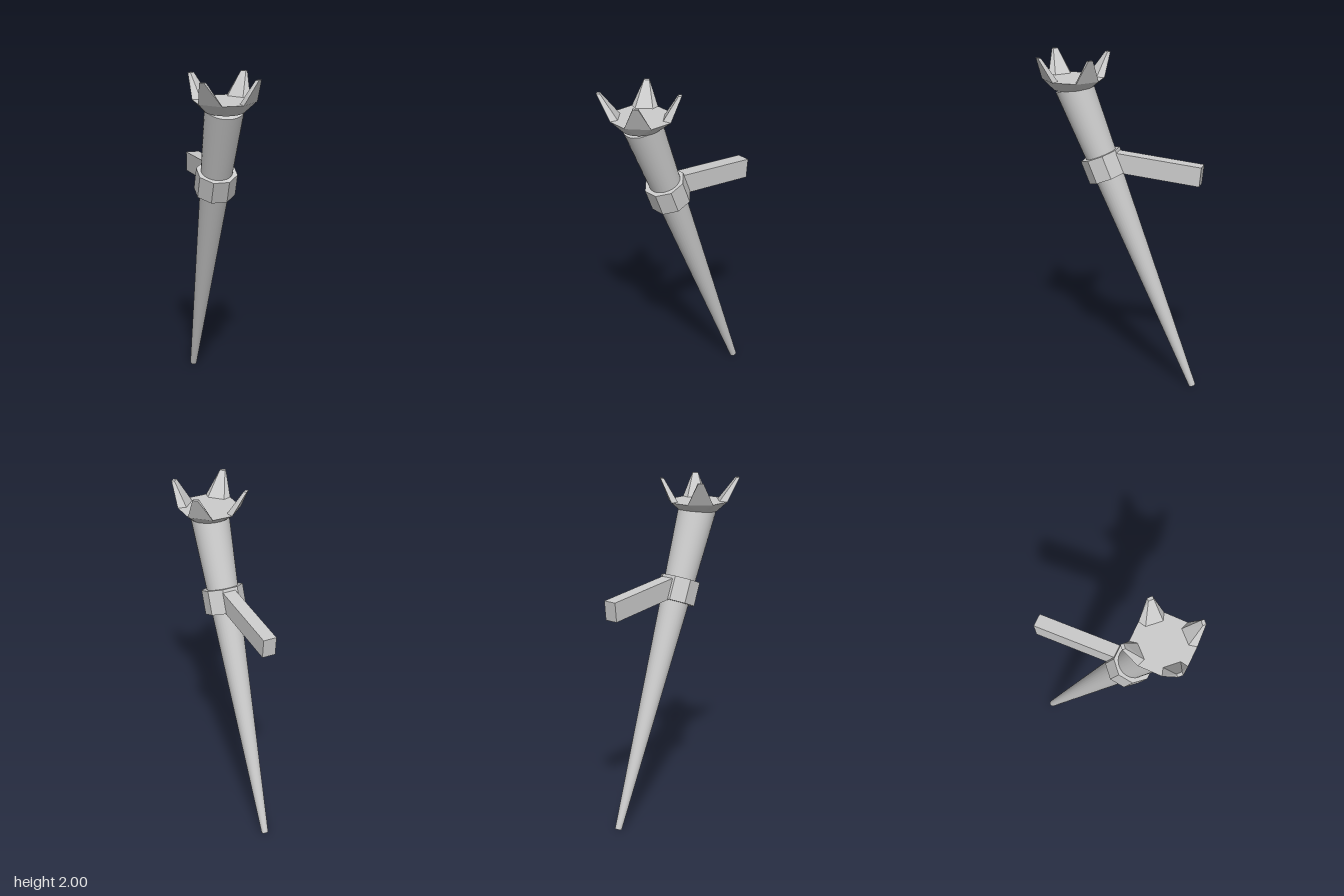
import * as THREE from 'three';
import { ConvexGeometry } from 'three/addons/geometries/ConvexGeometry.js';

const CX = 0.006;   // centre line of the torch
const CZ = 0.295;   // centre of the crown
const PLATE_Y = 1.865;

export function createModel() {
  const group = new THREE.Group();
  const material = new THREE.MeshStandardMaterial({ color: 0xcccccc });
  const add = (name, geometry) => {
    const mesh = new THREE.Mesh(geometry, material);
    mesh.name = name;
    group.add(mesh);
    return mesh;
  };
  const V = (x, y, z) => new THREE.Vector3(x, y, z);

  // Tapered shaft leaning forward
  const foot = V(CX, 0.009, -0.437), head = V(CX, 1.82, 0.292);
  const axis = head.clone().sub(foot);
  const lean = Math.atan2(axis.z, axis.y);
  const shaft = add('shaft', new THREE.CylinderGeometry(0.112, 0.02, axis.length(), 32));
  shaft.position.copy(foot).add(head).multiplyScalar(0.5);
  shaft.rotation.x = lean;

  // Eight-sided collar around the shaft, flats facing front and back
  const collarGeo = new THREE.CylinderGeometry(0.121, 0.121, 0.142, 8).toNonIndexed();
  collarGeo.rotateY(Math.PI / 8);
  collarGeo.computeVertexNormals();
  const collar = add('collar', collarGeo);
  collar.position.set(CX, 1.356, 0.109);
  collar.rotation.x = lean;

  // Wall bracket reaching back from the collar
  const bracket = add('bracket', new THREE.BoxGeometry(0.08, 0.115, 0.52));
  bracket.position.set(0.015, 1.365, -0.213);
  bracket.rotation.x = -0.1;

  // Crown base: round neck flaring to a level octagonal plate
  const pts = [];
  for (let i = 0; i < 32; i++) {
    const a = (i / 32) * Math.PI * 2;
    const z = Math.cos(a) * 0.115;
    pts.push(V(CX + Math.sin(a) * 0.115, 1.808 - z * 0.07, CZ + z));
  }
  for (const sx of [-1, 1]) for (const sz of [-1, 1]) {
    pts.push(V(CX + sx * 0.168, PLATE_Y, CZ + sz * 0.068));
    pts.push(V(CX + sx * 0.06, PLATE_Y, CZ + sz * 0.17));
  }
  add('crownBase', new ConvexGeometry(pts));

  // Four spikes on the diagonal edges: [side, front/back, tip x, tip z]
  const spikes = [
    [-1, 1, -0.165, 0.46], [1, 1, 0.156, 0.455],
    [1, -1, 0.163, 0.147], [-1, -1, -0.148, 0.129],
  ];
  for (const [sx, sz, tx, tz] of spikes) {
    const base = [[0.168, 0.068], [0.06, 0.17], [0.05, 0.124], [0.12, 0.052]]
      .map(([x, z]) => V(CX + sx * x, PLATE_Y - 0.002, CZ + sz * z));
    const tip = [[0.015, -0.005], [-0.007, 0.016], [-0.022, 0.002], [0.002, -0.018]]
      .map(([x, z]) => V(tx + sx * x, 2, tz + sz * z));
    add('crownSpike', new ConvexGeometry([...base, ...tip]));
  }
  return group;
}
